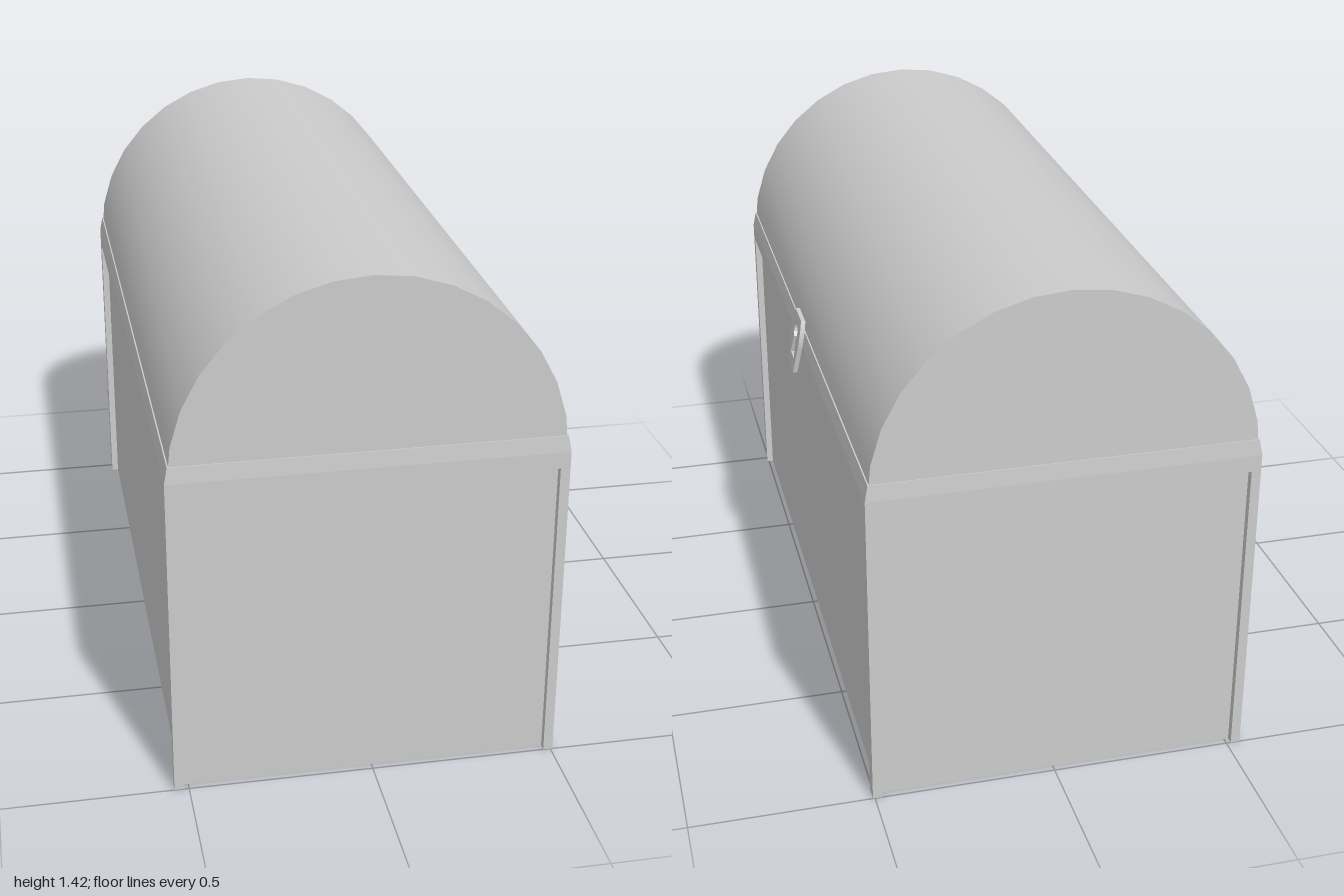
import * as THREE from 'three';

const CX = -0.0165; // chest centre in x; the lock hangs out on the +x side
const HX = 0.5225, HZ = 1; // outer half sizes
const RECESS = 0.02;

export function createModel() {
  const group = new THREE.Group();
  const material = new THREE.MeshStandardMaterial({ color: 0xcccccc });
  const doubleSided = new THREE.MeshStandardMaterial({ color: 0xcccccc, side: THREE.DoubleSide });

  const add = (name, geometry, x, y, z, mat = material) => {
    const mesh = new THREE.Mesh(geometry, mat);
    mesh.name = name;
    mesh.position.set(x, y, z);
    group.add(mesh);
    return mesh;
  };

  // Recessed panels of the body
  add('body', new THREE.BoxGeometry(2 * (HX - RECESS), 0.88, 2 * (HZ - RECESS)), CX, 0.44, 0);

  // Corner posts standing proud of the panels
  for (const sx of [-1, 1]) {
    for (const sz of [-1, 1]) {
      const w = 0.026, d = sz > 0 ? 0.028 : 0.042;
      add('cornerPost', new THREE.BoxGeometry(w, 0.86, d), CX + sx * (HX - w / 2), 0.43, sz * (HZ - d / 2));
    }
  }

  // Rim around the top, leaning inward over its upper half
  let rim = new THREE.BoxGeometry(2 * HX, 1, 2 * HZ, 1, 2, 1);
  const p = rim.attributes.position;
  for (let i = 0; i < p.count; i++) {
    const row = Math.round((p.getY(i) + 0.5) * 2);
    p.setY(i, [0.86, 0.905, 0.95][row]);
    if (row === 2) {
      p.setX(i, p.getX(i) * (0.514 / HX));
      p.setZ(i, p.getZ(i) * 0.996);
    }
  }
  rim = rim.toNonIndexed();
  rim.computeVertexNormals();
  add('rim', rim, CX, 0, 0);

  // Barrel lid with flat half-round ends
  const lid = new THREE.CylinderGeometry(0.515, 0.515, 1.986, 16, 1, false, Math.PI / 2, Math.PI);
  lid.rotateX(Math.PI / 2);
  add('lid', lid, CX, 0.902, 0, doubleSided);

  // Lock plate with a keyhole, hung at a slant
  const plate = new THREE.Shape();
  plate.moveTo(-0.045, -0.083);
  plate.lineTo(0.045, -0.083);
  plate.lineTo(0.062, 0.005);
  plate.quadraticCurveTo(0.067, 0.04, 0.05, 0.083);
  plate.lineTo(-0.05, 0.083);
  plate.quadraticCurveTo(-0.067, 0.04, -0.062, 0.005);
  plate.closePath();
  const keyhole = new THREE.Path();
  keyhole.moveTo(-0.027, -0.045);
  keyhole.lineTo(-0.012, 0.009);
  keyhole.absarc(0, 0.031, 0.025, Math.PI * 1.34, -Math.PI * 0.34, true);
  keyhole.lineTo(0.027, -0.045);
  keyhole.closePath();
  plate.holes.push(keyhole);
  const lockGeometry = new THREE.ExtrudeGeometry(plate, { depth: 0.013, bevelEnabled: false, curveSegments: 8 });
  lockGeometry.translate(0, 0, -0.0065);
  lockGeometry.rotateY(Math.PI / 2);
  const lock = add('lock', lockGeometry, 0.516, 0.907, 0);
  lock.rotation.z = 0.18;

  return group;
}
